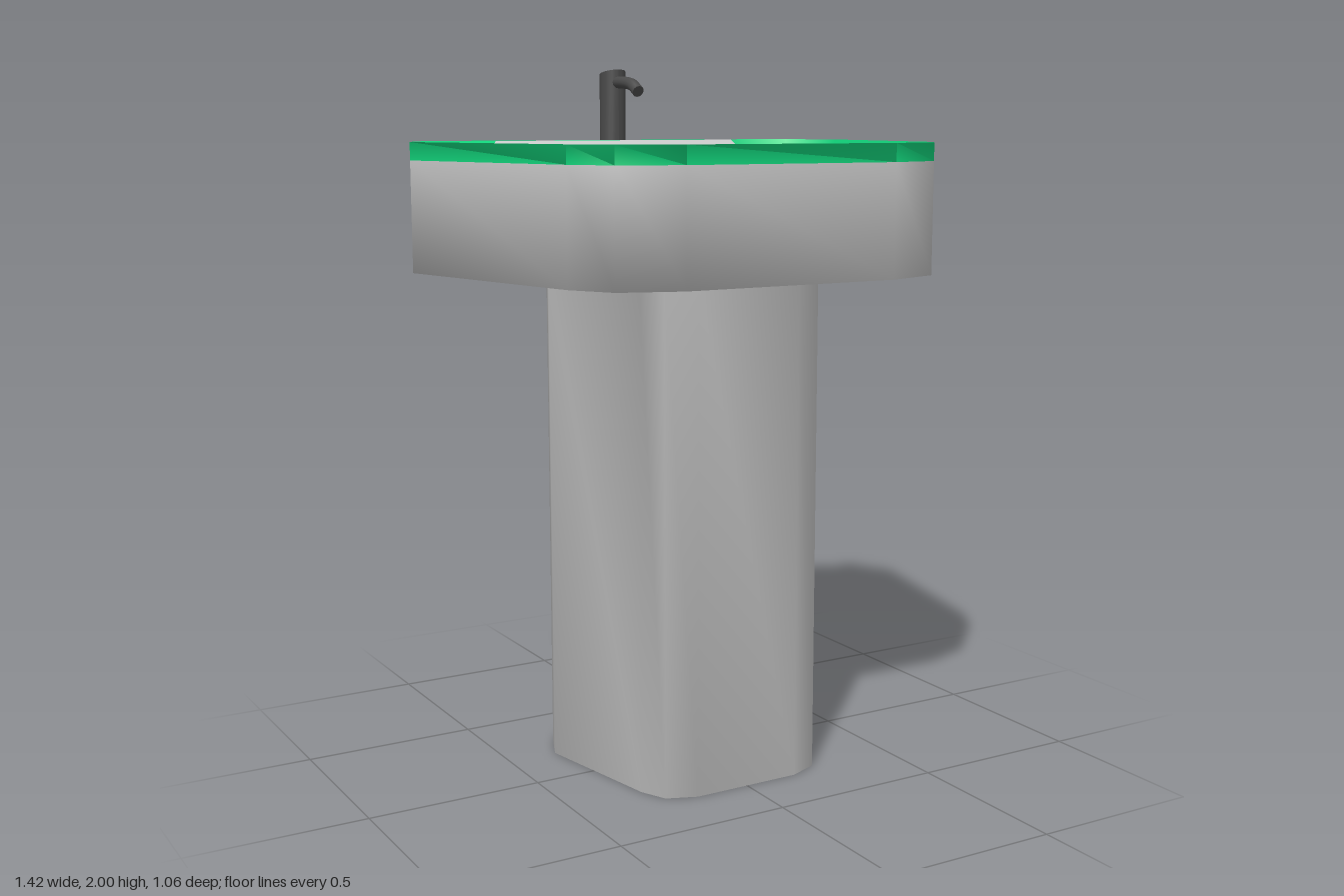
import * as THREE from 'three';

const grey = new THREE.MeshStandardMaterial({ color: 0xcccccc });
const green = new THREE.MeshStandardMaterial({ color: 0x12d67c });
const dark = new THREE.MeshStandardMaterial({ color: 0x4a4a4a });

// Right half outlines [x, z] from back to front; mirrored into closed 12-point loops
const mirrored = (half) => [...half, ...half.slice().reverse().map(([x, z]) => [-x, z])];
const outer = mirrored([[0.42, -0.53], [0.63, -0.47], [0.712, -0.308], [0.56, 0.35], [0.49, 0.473], [0.32, 0.53]]);
const inner = mirrored([[0.4, -0.43], [0.555, -0.385], [0.605, -0.286], [0.467, 0.31], [0.42, 0.39], [0.315, 0.424]]);
const N = outer.length;

const RIM = 1.79, FLOOR = 1.55;
const ring = (loop, y, sx = 1, sz = 1) => loop.map(([x, z]) => [x * sx, y, z * sz]);

function ceramicBody() {
  // Cross-sections from the foot, out to the basin, up to the rim and down into the bowl
  const rings = [
    ring(outer, 0, 0.5, 0.6),
    ring(outer, 1.43, 0.5, 0.6),
    ring(outer, 1.43),
    ring(outer, 1.74),
    ring(outer, RIM),
    // the back edge of the bowl stays level with the rim
    inner.map(([x, z], i) => [x, i === 0 || i === N - 1 ? RIM : FLOOR, z]),
  ];
  const greyFaces = [], greenFaces = [];

  for (let r = 0; r < rings.length - 1; r++) {
    for (let i = 0; i < N; i++) {
      const j = (i + 1) % N;
      const a = r * N + i, b = r * N + j, c = a + N, d = b + N;
      // rim, bowl wall and the two rear corner strips are coloured
      const coloured = r >= 3 || i === 0 || i === N - 2;
      (coloured ? greenFaces : greyFaces).push(a, c, d, a, d, b);
    }
  }

  // underside of the foot
  for (let i = 1; i < N - 1; i++) greyFaces.push(0, i, i + 1);

  // bowl floor: level front half, rear half rising to the back edge
  const f = (rings.length - 1) * N;
  const floor = [2, 11, 8, 2, 0, 11, 2, 1, 0, 11, 10, 9, 11, 9, 8];
  for (let i = 3; i < 8; i++) floor.push(2, i + 1, i);
  greyFaces.push(...floor.map((i) => i + f));

  const geo = new THREE.BufferGeometry();
  geo.setAttribute('position', new THREE.Float32BufferAttribute(rings.flat(2), 3));
  geo.setIndex([...greyFaces, ...greenFaces]);
  geo.addGroup(0, greyFaces.length, 0);
  geo.addGroup(greyFaces.length, greenFaces.length, 1);
  geo.computeVertexNormals();
  const mesh = new THREE.Mesh(geo, [grey, green]);
  mesh.name = 'basinAndPedestal';
  return mesh;
}

function faucet() {
  const group = new THREE.Group();
  group.name = 'faucet';
  group.position.set(0.012, RIM, -0.484);

  // upright body with a top that slants down to the back
  const bodyGeo = new THREE.CylinderGeometry(0.039, 0.039, 0.2, 24);
  bodyGeo.translate(0, 0.1, 0);
  const p = bodyGeo.attributes.position;
  for (let i = 0; i < p.count; i++) {
    if (p.getY(i) > 0.15) p.setY(i, 0.2 + p.getZ(i) * 0.25);
  }
  bodyGeo.computeVertexNormals();
  const body = new THREE.Mesh(bodyGeo, dark);
  body.name = 'faucetBody';

  // spout bending down at its tip
  const path = new THREE.CatmullRomCurve3([
    [0, 0.172, 0.02], [0, 0.17, 0.08], [0, 0.163, 0.125], [0, 0.143, 0.162],
  ].map((v) => new THREE.Vector3(...v)));
  const spout = new THREE.Mesh(new THREE.TubeGeometry(path, 16, 0.018, 12), dark);
  spout.name = 'faucetSpout';

  // closed spout tip
  const tip = new THREE.Mesh(new THREE.CircleGeometry(0.018, 12), dark);
  tip.name = 'spoutTip';
  tip.position.copy(path.getPoint(1));
  tip.lookAt(path.getPoint(1).add(path.getTangent(1)));

  group.add(body, spout, tip);
  return group;
}

export function createModel() {
  const model = new THREE.Group();
  model.name = 'pedestalSink';
  model.add(ceramicBody(), faucet());
  return model;
}
